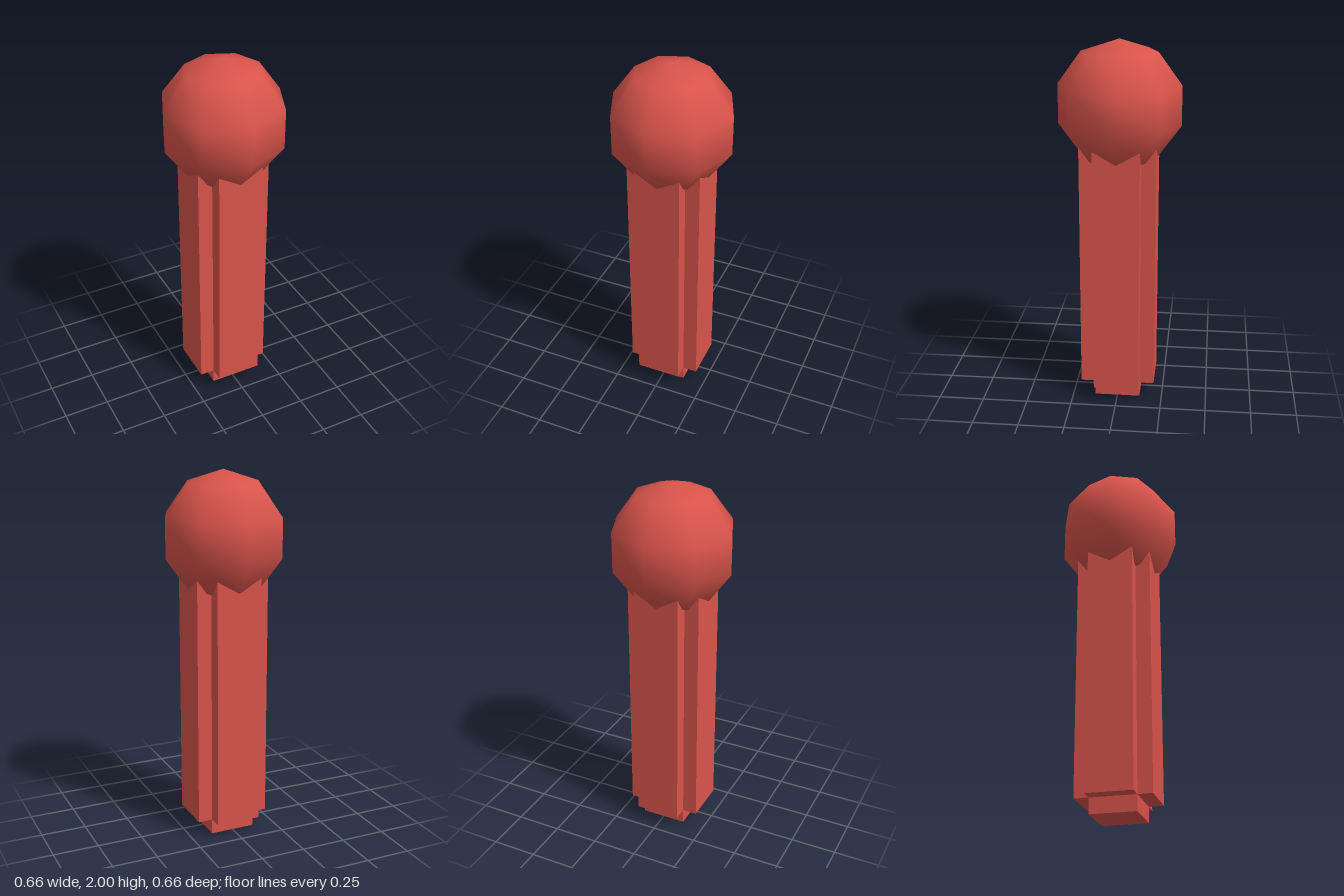
import * as THREE from 'three';

export function createModel() {
  const group = new THREE.Group();
  const material = new THREE.MeshStandardMaterial({ color: 0xd9544b });
  const add = (name, geometry, y) => {
    const mesh = new THREE.Mesh(geometry, material);
    mesh.name = name;
    mesh.position.y = y;
    group.add(mesh);
  };

  const outer = 0.205; // reach of the cross arms
  const inner = 0.125; // half width of each arm
  const shaftBottom = 0.085;
  const shaftTop = 1.65;

  // Faceted ball with smooth shading
  add('ballHead', new THREE.SphereGeometry(0.345, 8, 5), 1.655);

  // Cross-shaped shaft, running up into the ball
  const cross = new THREE.Shape([
    [outer, -inner], [outer, inner], [inner, inner], [inner, outer],
    [-inner, outer], [-inner, inner], [-outer, inner], [-outer, -inner],
    [-inner, -inner], [-inner, -outer], [inner, -outer], [inner, -inner],
  ].map(([x, y]) => new THREE.Vector2(x, y)));
  const shaft = new THREE.ExtrudeGeometry(cross, {
    depth: shaftTop - shaftBottom, bevelEnabled: false,
  });
  shaft.rotateX(-Math.PI / 2);
  add('crossShaft', shaft, shaftBottom);

  // Square foot below the shaft
  add('squareFoot', new THREE.BoxGeometry(inner * 2, shaftBottom, inner * 2), shaftBottom / 2);

  return group;
}
